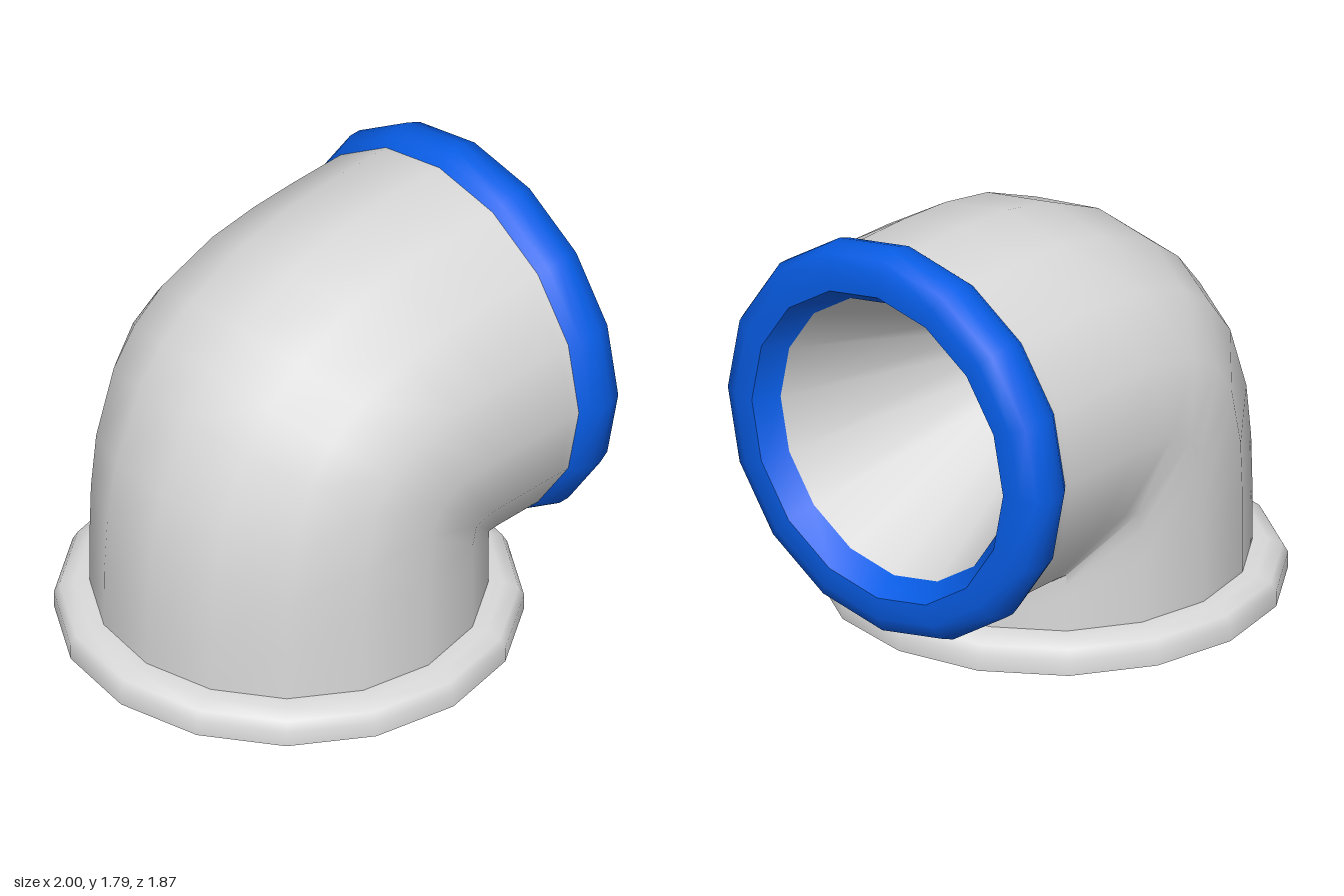
import * as THREE from 'three';
import { toCreasedNormals } from 'three/addons/utils/BufferGeometryUtils.js';

const SIDES = 16;
const R = 0.795;              // pipe radius
const CX = -0.065;            // axis of the upright leg
const CY = 0.945;             // axis of the level leg
const PX = CX + R, PY = CY - R; // inner corner of the elbow
const BEND = [0, 9, 18, 27, 38, 45, 52, 63, 72, 81, 90]; // degrees round the corner

// Grid of rings swept around the inner corner: mitred inside, rounded outside
function elbowGeometry() {
  const pos = [], index = [];
  const rows = BEND.length + 2;
  for (let i = 0; i < rows; i++) {
    const k = THREE.MathUtils.clamp(i - 1, 0, BEND.length - 1);
    const t = THREE.MathUtils.degToRad(BEND[k]);
    const c = Math.cos(t), s = Math.sin(t);
    for (let j = 0; j <= SIDES; j++) {
      const a = j / SIDES * Math.PI * 2;
      const d = Math.max(R * (1 - Math.cos(a)), 0.003);
      const n = Math.min(2.73 * Math.pow(2 * R / d, 1.4), 40);
      const rho = d / Math.pow(Math.pow(c, n) + Math.pow(s, n), 1 / n);
      const x = i === rows - 1 ? 0.79 : PX - rho * c;
      const y = i === 0 ? 0.125 : PY + rho * s;
      pos.push(x, y, R * Math.sin(a));
    }
  }
  const w = SIDES + 1;
  for (let i = 0; i < rows - 1; i++) {
    for (let j = 0; j < SIDES; j++) {
      const k = i * w + j;
      index.push(k, k + w, k + 1, k + 1, k + w, k + w + 1);
    }
  }
  const g = new THREE.BufferGeometry();
  g.setAttribute('position', new THREE.Float32BufferAttribute(pos, 3));
  g.setIndex(index);
  return toCreasedNormals(g, 0.85);
}

function lathe(profile) {
  const points = profile.map(([r, h]) => new THREE.Vector2(r, h));
  return toCreasedNormals(new THREE.LatheGeometry(points, SIDES), 0.85);
}

export function createModel() {
  const grey = new THREE.MeshStandardMaterial({ color: 0xdadada, side: THREE.DoubleSide });
  grey.name = 'light grey';
  const blue = new THREE.MeshStandardMaterial({ color: 0x0860ee, side: THREE.DoubleSide });
  blue.name = 'blue';

  const model = new THREE.Group();
  model.name = 'elbowPipe';
  const add = (name, geometry, material) => {
    const mesh = new THREE.Mesh(geometry, material);
    mesh.name = name;
    model.add(mesh);
    return mesh;
  };

  add('elbow', elbowGeometry(), grey);

  // Foot flange, an open shell below
  add('baseFlange', lathe([
    [0.937, 0], [0.937, 0.065], [0.915, 0.105], [0.855, 0.128], [0.79, 0.13],
  ]), grey).position.x = CX;

  // Rounded collar around the mouth with a short tapered lip
  const collar = add('mouthCollar', lathe([
    [0.795, 0.773], [0.825, 0.81], [0.842, 0.86], [0.842, 0.91], [0.818, 0.97],
    [0.755, 1], [0.665, 1], [0.6, 0.9],
  ]), blue);

  // Tapered bore ending in a flat disc
  const bore = add('taperedBore', lathe([[0.6, 0.9], [0.243, 0], [0.001, 0]]), grey);

  for (const part of [collar, bore]) {
    part.rotation.z = -Math.PI / 2;
    part.position.y = CY;
  }
  return model;
}
